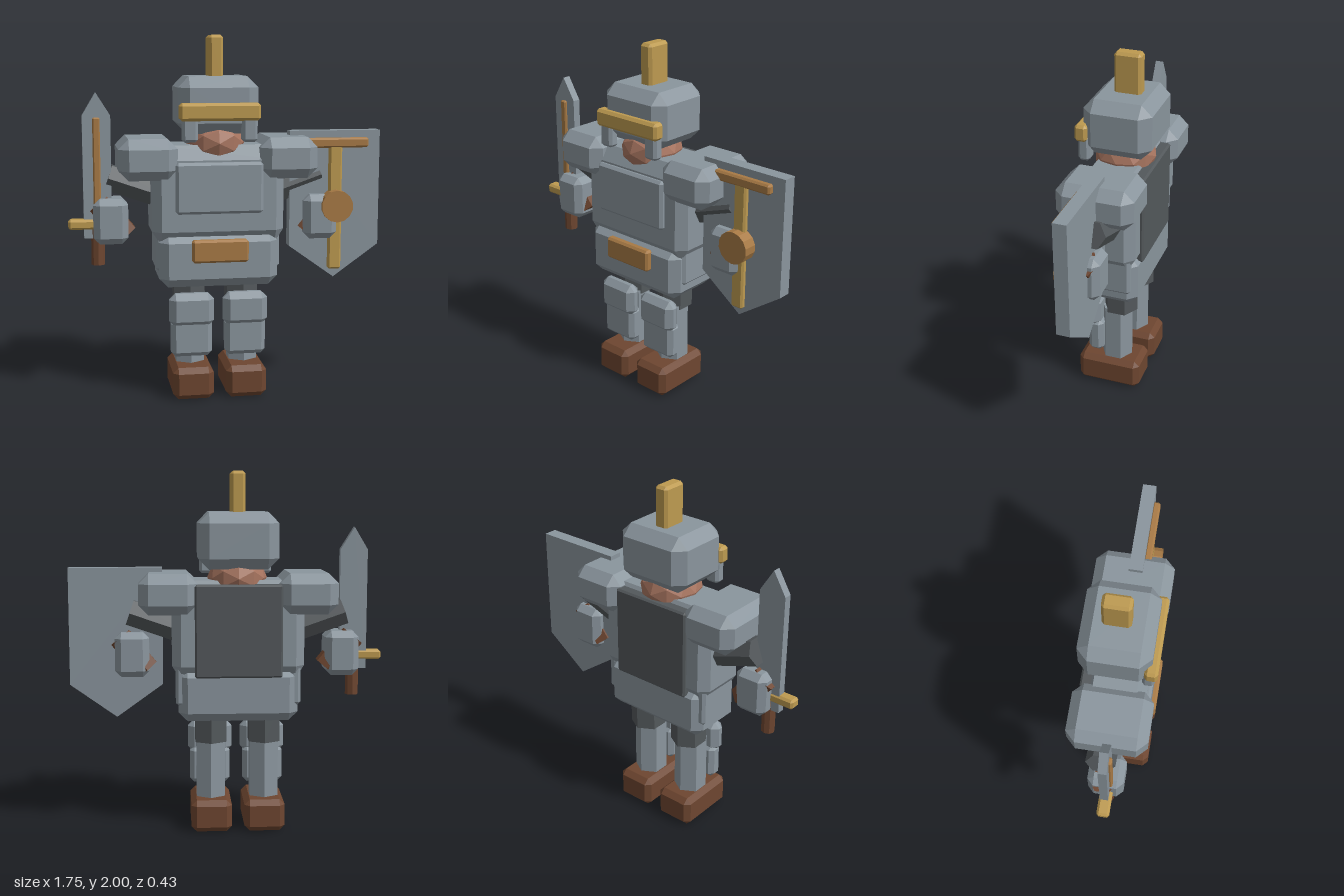
import * as THREE from 'three';
import { ConvexGeometry } from 'three/addons/geometries/ConvexGeometry.js';

const mat = (name, color) => {
  const m = new THREE.MeshStandardMaterial({ color });
  m.name = name;
  return m;
};

export function createModel() {
  const steel = mat('steel', 0x8a959d);
  const dark = mat('dark cloth', 0x53585b);
  const gold = mat('gold', 0xbd9a50);
  const bronze = mat('bronze', 0xa87a45);
  const leather = mat('leather', 0x6e4630);
  const skin = mat('skin', 0xa87560);

  const model = new THREE.Group();
  model.name = 'armouredKnight';
  const CX = -0.06; // the body's own centre line

  function add(name, geo, material, parent = model) {
    const mesh = new THREE.Mesh(geo, material);
    mesh.name = name;
    parent.add(mesh);
    return mesh;
  }

  function flat(geo) {
    const g = geo.index ? geo.toNonIndexed() : geo;
    g.computeVertexNormals();
    return g;
  }

  // Box with chamfered edges, given by its limits on each axis
  function block(name, x, y, z, bevel, material, parent) {
    const b = Array.isArray(bevel) ? bevel : [bevel, bevel, bevel];
    const half = [x, y, z].map(([lo, hi]) => (hi - lo) / 2);
    const points = [];
    for (const sx of [-1, 1]) for (const sy of [-1, 1]) for (const sz of [-1, 1]) {
      for (let face = 0; face < 3; face++) {
        const [px, py, pz] = half.map((h, i) => (i === face ? h : h - b[i]));
        points.push(new THREE.Vector3(sx * px, sy * py, sz * pz));
      }
    }
    const mesh = add(name, new ConvexGeometry(points), material, parent);
    mesh.position.set((x[0] + x[1]) / 2, (y[0] + y[1]) / 2, (z[0] + z[1]) / 2);
    return mesh;
  }

  // Faceted rod between two points
  function rod(name, from, to, radius, sides, material, parent) {
    const a = new THREE.Vector3(...from), b = new THREE.Vector3(...to);
    const geo = flat(new THREE.CylinderGeometry(radius, radius, a.distanceTo(b), sides));
    const mesh = add(name, geo, material, parent);
    mesh.position.copy(a).lerp(b, 0.5);
    mesh.quaternion.setFromUnitVectors(new THREE.Vector3(0, 1, 0), b.sub(a).normalize());
    return mesh;
  }

  // Flat plate from an outline, extruded from z0 to z1
  function plate(name, outline, z0, z1, material, parent) {
    const shape = new THREE.Shape(outline.map(([x, y]) => new THREE.Vector2(x, y)));
    const geo = new THREE.ExtrudeGeometry(shape, { depth: z1 - z0, bevelEnabled: false });
    geo.translate(0, 0, z0);
    return add(name, geo, material, parent);
  }

  const body = new THREE.Group();
  body.name = 'body';
  body.position.x = CX;
  model.add(body);

  // Head and helmet
  const head = add('head', flat(new THREE.IcosahedronGeometry(0.175, 1)), skin, body);
  head.scale.set(0.95, 0.75, 1);
  head.position.set(0, 1.42, 0);
  block('helmet', [-0.22, 0.22], [1.47, 1.78], [-0.2, 0.18], 0.06, steel, body);
  block('browBand', [-0.22, 0.22], [1.545, 1.64], [0.145, 0.215], 0.015, gold, body);
  block('crest', [-0.04, 0.04], [1.74, 2], [-0.095, 0.055], 0.015, gold, body);

  // Torso
  block('torso', [-0.365, 0.365], [0.86, 1.41], [-0.165, 0.165], [0.05, 0.08, 0.05], steel, body);
  block('chestPlate', [-0.24, 0.24], [1.04, 1.32], [0.12, 0.19], 0.015, steel, body);
  block('backPanel', [-0.24, 0.24], [0.88, 1.39], [-0.185, -0.1], 0.01, dark, body);
  block('skirt', [-0.33, 0.33], [0.63, 0.93], [-0.17, 0.18], 0.05, steel, body);
  block('beltBuckle', [-0.155, 0.155], [0.775, 0.9], [0.165, 0.215], 0.012, bronze, body);

  // Paired parts, mirrored about the body's centre line
  for (const s of [-1, 1]) {
    const side = new THREE.Group();
    side.name = s > 0 ? 'leftSide' : 'rightSide';
    body.add(side);
    const span = (a, b) => (s > 0 ? [a, b] : [-b, -a]);

    block('cheekGuard', span(0.12, 0.205), [1.43, 1.58], [0.135, 0.2], 0.015, steel, side);
    block('shoulderGuard', span(0.225, 0.545), [1.225, 1.45], [-0.215, 0.213], 0.055, steel, side);
    rod('upperArm', [s * 0.28, 1.12, -0.02], [s * 0.595, 1.23, -0.02], 0.08, 6, dark, side);
    rod('forearm', [s * 0.65, 1.09, 0], [s * 0.5, 0.91, 0], 0.075, 6, leather, side);
    block('gauntlet', span(0.49, 0.68), [0.87, 1.12], [-0.085, 0.11], 0.035, steel, side);
    block('hipPlate', span(0.29, 0.345), [0.72, 0.96], [-0.14, 0.12], 0.015, steel, side);

    rod('thigh', [s * 0.15, 0.5, -0.025], [s * 0.15, 0.72, -0.025], 0.1, 6, dark, side);
    rod('lowerLeg', [s * 0.15, 0.15, -0.003], [s * 0.15, 0.52, -0.003], 0.092, 6, steel, side);
    block('kneeGuard', span(0.025, 0.275), [0.4, 0.59], [0.065, 0.16], 0.035, steel, side);
    block('shinGuard', span(0.037, 0.265), [0.23, 0.44], [0.05, 0.14], 0.025, steel, side);
    block('boot', span(0.035, 0.262), [0, 0.18], [-0.165, 0.202], 0.03, leather, side);
  }

  // Sword in the right hand
  const sword = new THREE.Group();
  sword.name = 'sword';
  model.add(sword);
  plate('blade', [[-0.79, 0.9], [-0.637, 0.9], [-0.637, 1.57], [-0.715, 1.695], [-0.79, 1.57]],
    -0.005, 0.04, steel, sword);
  block('bladeRidge', [-0.735, -0.695], [0.98, 1.56], [0.03, 0.055], 0.007, bronze, sword);
  block('crossGuard', [-0.875, -0.56], [0.95, 1.005], [-0.012, 0.057], 0.012, gold, sword);
  rod('grip', [-0.715, 0.75, 0.02], [-0.715, 1.0, 0.02], 0.037, 8, leather, sword);

  // Shield on the left arm
  const shield = new THREE.Group();
  shield.name = 'shield';
  model.add(shield);
  plate('shieldBoard', [[0.355, 1.475], [0.355, 0.825], [0.613, 0.64], [0.872, 0.825], [0.872, 1.475]],
    -0.028, 0.047, steel, shield);
  block('shieldUpright', [0.575, 0.65], [0.69, 1.41], [0.04, 0.077], 0.01, gold, shield);
  block('shieldCrossbar', [0.445, 0.8], [1.38, 1.435], [0.04, 0.083], 0.01, bronze, shield);
  rod('shieldBoss', [0.613, 1.055, 0.04], [0.613, 1.055, 0.125], 0.09, 14, bronze, shield);

  return model;
}
